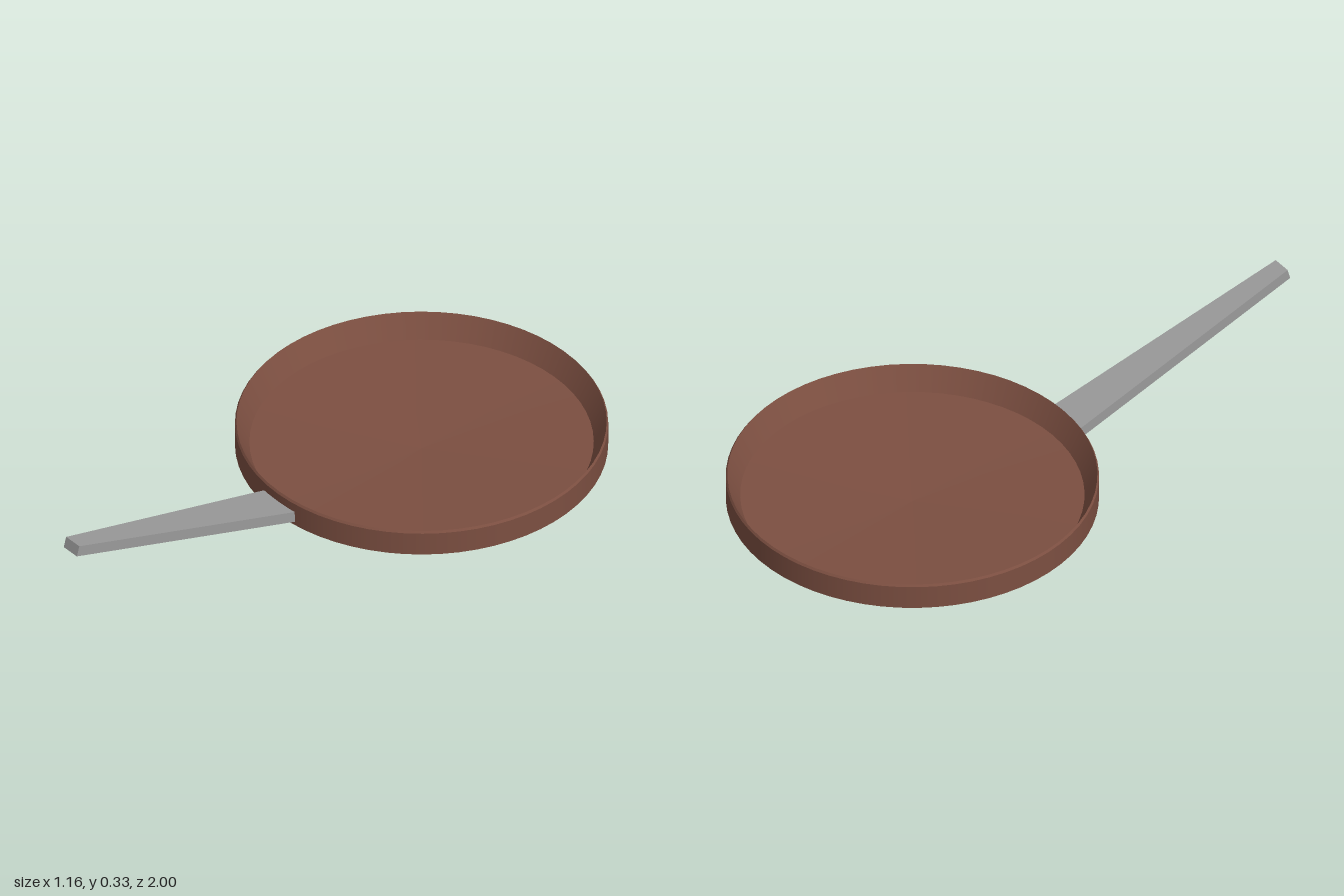
import * as THREE from 'three';
import { mergeGeometries } from 'three/addons/utils/BufferGeometryUtils.js';

// Revolve each profile segment separately so the creases stay sharp.
function creasedLathe(profile, sides) {
  const bands = [];
  for (let i = 0; i < profile.length - 1; i++) {
    const ends = [profile[i], profile[i + 1]].map(([r, y]) => new THREE.Vector2(r, y));
    bands.push(new THREE.LatheGeometry(ends, sides));
  }
  return mergeGeometries(bands);
}

export function createModel() {
  const model = new THREE.Group();
  const brown = new THREE.MeshStandardMaterial({ color: 0x7c4f41 });
  brown.name = 'brown pan';
  const grey = new THREE.MeshStandardMaterial({ color: 0x9a9a9a });
  grey.name = 'grey handle';

  // Shallow round pan: underside, outer wall, lip, sloped inner wall, floor
  const pan = new THREE.Mesh(creasedLathe([
    [0, 0.003], [0.58, 0.042], [0.58, 0.122], [0.575, 0.129], [0.535, 0.05], [0, 0.025],
  ], 64), brown);
  pan.name = 'pan';
  pan.position.z = -0.42;
  model.add(pan);

  // Flat handle, tapering towards its raised end
  const tilt = 0.277;
  const length = 0.884;
  const bar = new THREE.BoxGeometry(1, 0.036, length);
  const p = bar.attributes.position;
  for (let i = 0; i < p.count; i++) {
    const halfWidth = p.getZ(i) > 0 ? 0.032 : 0.075;
    p.setX(i, Math.sign(p.getX(i)) * halfWidth);
  }
  bar.computeVertexNormals();
  const handle = new THREE.Mesh(bar, grey);
  handle.name = 'handle';
  handle.rotation.x = -tilt;
  handle.position.set(0, 0.312 - Math.sin(tilt) * length / 2, 0.995 - Math.cos(tilt) * length / 2);
  model.add(handle);

  return model;
}
